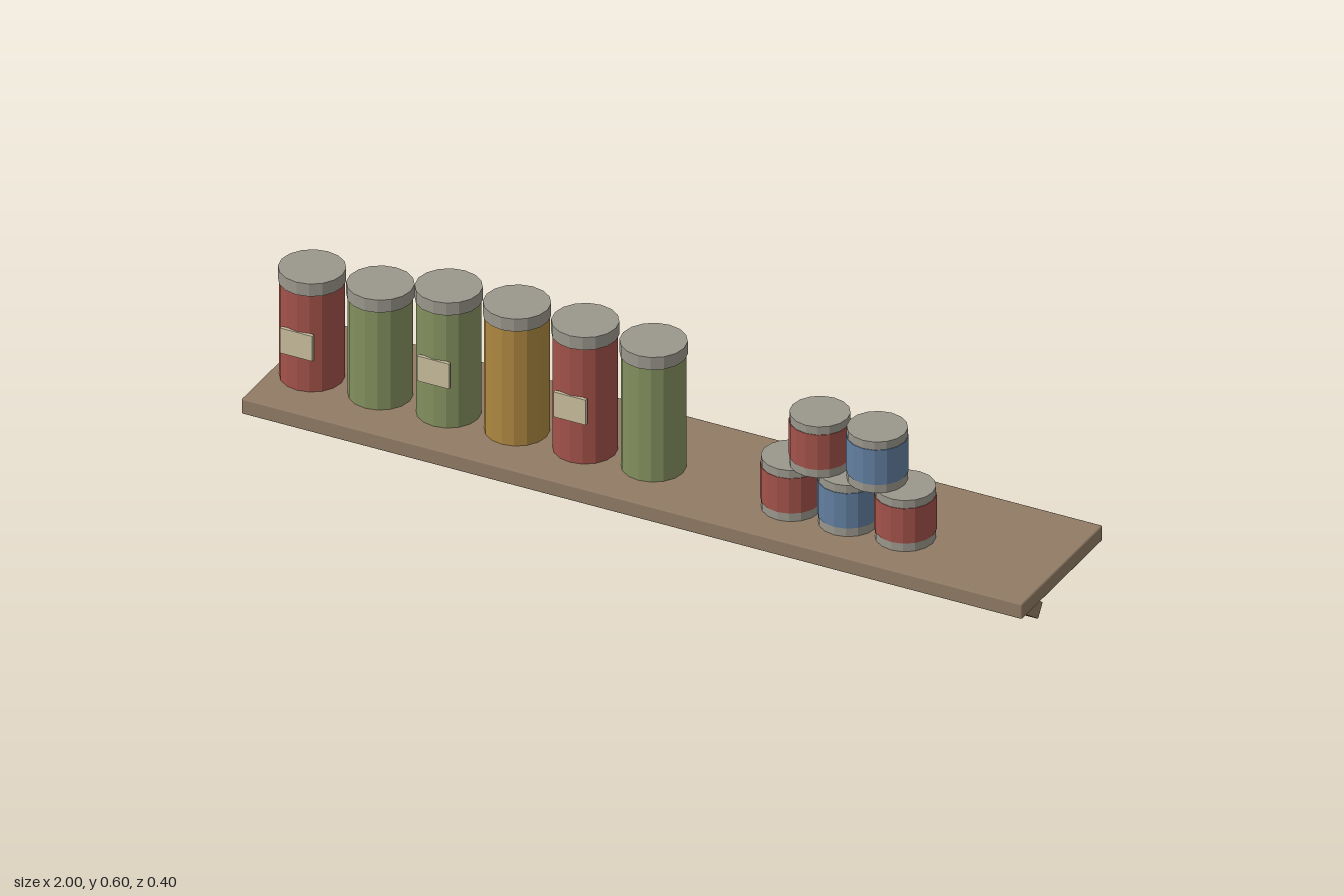
import * as THREE from 'three';
import { RoundedBoxGeometry } from 'three/addons/geometries/RoundedBoxGeometry.js';

const mat = (name, color, flatShading = false) => {
  const m = new THREE.MeshStandardMaterial({ color });
  m.name = name;
  m.flatShading = flatShading;
  return m;
};

export function createModel() {
  const wood = mat('wood', 0x907b65);
  const red = mat('red', 0xa2524a, true);
  const green = mat('green', 0x84905f, true);
  const ochre = mat('ochre', 0xae8840, true);
  const blue = mat('blue', 0x627fa0, true);
  const metal = mat('metal', 0x9a978c, true);
  const paper = mat('paper', 0xc9bd9e);

  const model = new THREE.Group();
  model.name = 'shelfWithJarsAndCans';

  const add = (parent, name, geometry, material, x, y, z) => {
    const mesh = new THREE.Mesh(geometry, material);
    mesh.name = name;
    mesh.position.set(x, y, z);
    parent.add(mesh);
    return mesh;
  };
  // Upright cylinder between two heights
  const drum = (parent, name, r, y0, y1, material) =>
    add(parent, name, new THREE.CylinderGeometry(r, r, y1 - y0, 16), material, 0, (y0 + y1) / 2, 0);

  // Plank and its two slanted brackets
  add(model, 'shelfBoard', new RoundedBoxGeometry(2, 0.04, 0.4, 1, 0.004), wood, 0, 0.245, 0);
  for (const side of [-1, 1]) {
    const bracket = add(model, side > 0 ? 'leftBracket' : 'rightBracket',
      new RoundedBoxGeometry(0.05, 0.04, 0.33, 1, 0.003), wood, side * 0.833, 0.112, -0.033);
    bracket.rotation.x = -0.611;
  }

  // Row of tall jars: body colour, top height, label height (0 for none)
  const shelfTop = 0.265;
  const jars = [
    [red, 0.552, 0.387], [green, 0.557, 0], [green, 0.597, 0.409],
    [ochre, 0.602, 0], [red, 0.601, 0.409], [green, 0.596, 0],
  ];
  jars.forEach(([color, top, labelY], i) => {
    const jar = new THREE.Group();
    jar.name = `jar${i + 1}`;
    jar.position.set(-0.905 + i * 0.175, 0, 0.033);
    drum(jar, 'jarBody', 0.075, shelfTop, top - 0.033, color);
    drum(jar, 'jarLid', 0.078, top - 0.033, top, metal);
    if (labelY) add(jar, 'jarLabel', new THREE.BoxGeometry(0.082, 0.066, 0.009), paper, 0, labelY, 0.074);
    model.add(jar);
  });

  // Stacked cans: three below, two above
  const cans = [
    [0.332, 0, red], [0.478, 0, blue], [0.624, 0, red],
    [0.405, 1, red], [0.552, 1, blue],
  ];
  cans.forEach(([x, level, color], i) => {
    const can = new THREE.Group();
    can.name = `can${i + 1}`;
    can.position.set(x, shelfTop + level * 0.135, 0.05);
    drum(can, 'canBody', 0.07, 0, 0.135, metal);
    drum(can, 'canWrapper', 0.0715, 0.022, 0.114, color);
    model.add(can);
  });

  return model;
}
